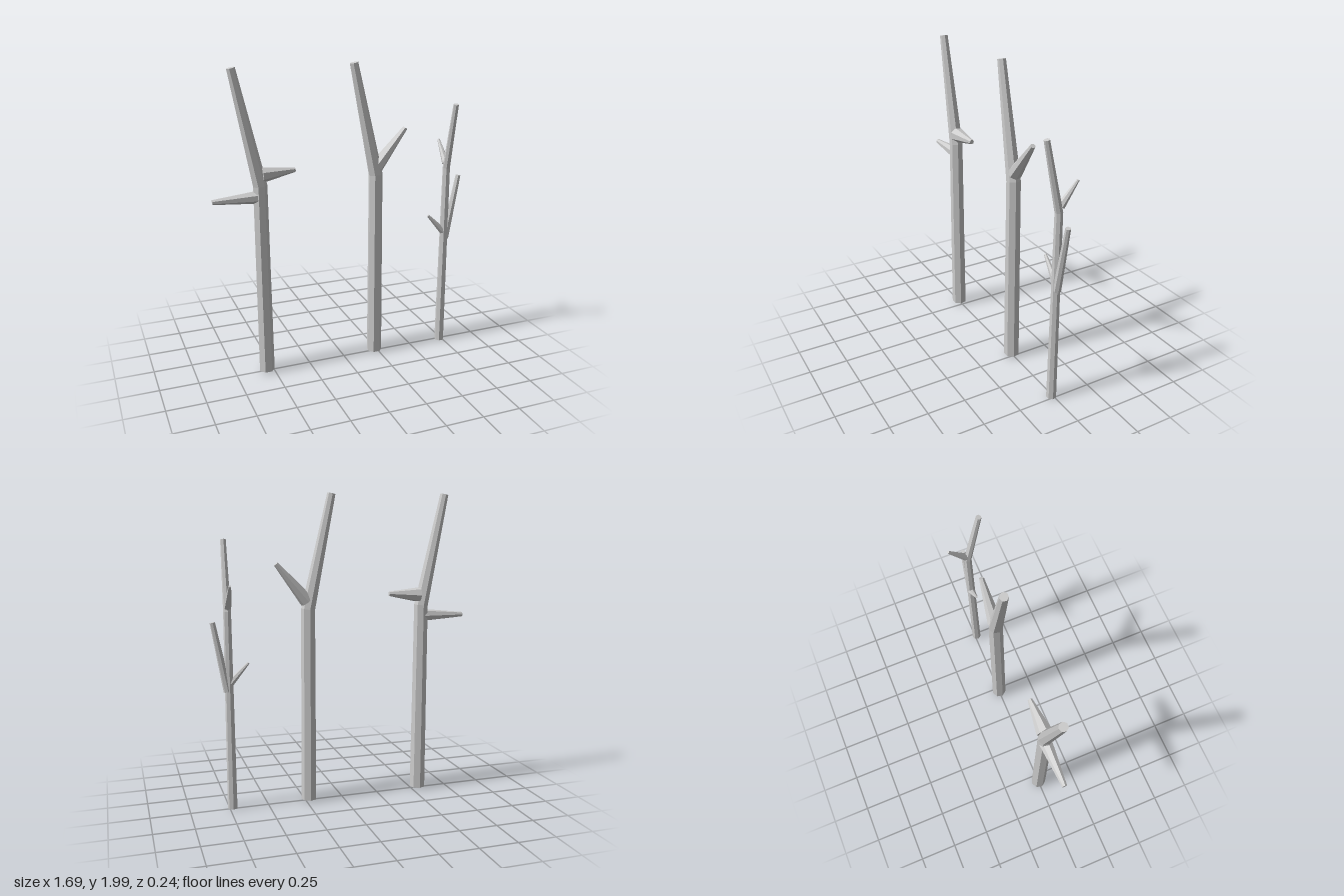
import * as THREE from 'three';

const SIDES = 7;
const UP = new THREE.Vector3(0, 1, 0);
const material = new THREE.MeshStandardMaterial({ color: 0xcccccc, flatShading: true, side: THREE.DoubleSide });

// Faceted limb through points [x, y, z, radius], with flat capped ends
function limb(name, points) {
  const centres = points.map(p => new THREE.Vector3(p[0], p[1], p[2]));
  const last = points.length - 1;
  const positions = [], index = [];
  points.forEach((p, i) => {
    const tangent = new THREE.Vector3();
    if (i > 0) tangent.add(centres[i].clone().sub(centres[i - 1]).normalize());
    if (i < last) tangent.add(centres[i + 1].clone().sub(centres[i]).normalize());
    const turn = new THREE.Quaternion().setFromUnitVectors(UP, tangent.normalize());
    for (let k = 0; k < SIDES; k++) {
      const a = (k / SIDES) * Math.PI * 2;
      const v = new THREE.Vector3(Math.sin(a) * p[3], 0, -Math.cos(a) * p[3]);
      positions.push(...v.applyQuaternion(turn).add(centres[i]).toArray());
    }
  });
  // Walls
  for (let i = 0; i < last; i++) {
    for (let k = 0; k < SIDES; k++) {
      const a = i * SIDES + k, b = i * SIDES + (k + 1) % SIDES;
      index.push(a, a + SIDES, b, b, a + SIDES, b + SIDES);
    }
  }
  // End caps
  const top = last * SIDES;
  for (let k = 1; k < SIDES - 1; k++) {
    index.push(0, k, k + 1, top, top + k + 1, top + k);
  }
  const geometry = new THREE.BufferGeometry();
  geometry.setAttribute('position', new THREE.Float32BufferAttribute(positions, 3));
  geometry.setIndex(index);
  const flat = geometry.toNonIndexed();
  flat.computeVertexNormals();
  const mesh = new THREE.Mesh(flat, material);
  mesh.name = name;
  return mesh;
}

function plant(name, ...limbs) {
  const group = new THREE.Group();
  group.name = name;
  group.add(...limbs);
  return group;
}

export function createModel() {
  const model = new THREE.Group();
  model.name = 'bareTrees';

  // Thick tree with two nearly level side branches
  model.add(plant('forkedTree',
    limb('trunk', [[-0.548, 0.01, 0, 0.051], [-0.55, 1.27, -0.005, 0.046], [-0.7, 1.987, -0.006, 0.027]]),
    limb('upperBranch', [[-0.535, 1.337, -0.006, 0.05], [-0.322, 1.35, -0.007, 0.015]]),
    limb('lowerBranch', [[-0.56, 1.2, -0.004, 0.042], [-0.848, 1.195, -0.006, 0.016]])));

  // Thick tree with one rising branch
  model.add(plant('singleBranchTree',
    limb('trunk', [[0.226, 0.01, 0, 0.051], [0.222, 1.27, -0.005, 0.046], [0.068, 1.987, -0.006, 0.027]]),
    limb('sideBranch', [[0.23, 1.32, -0.006, 0.046], [0.427, 1.558, -0.006, 0.016]])));

  // Thin sapling with pairs of branches at two heights
  model.add(plant('sapling',
    limb('trunk', [[0.731, 0, 0.012, 0.032], [0.733, 1.27, 0.01, 0.025], [0.732, 1.708, 0.104, 0.018]]),
    limb('backBranch', [[0.732, 1.3, 0.0, 0.025], [0.732, 1.438, -0.112, 0.009]]),
    limb('leftBranch', [[0.743, 0.77, 0.01, 0.026], [0.826, 1.208, 0.009, 0.017]]),
    limb('rightBranch', [[0.726, 0.82, 0.009, 0.025], [0.609, 0.945, 0.007, 0.009]])));

  return model;
}
